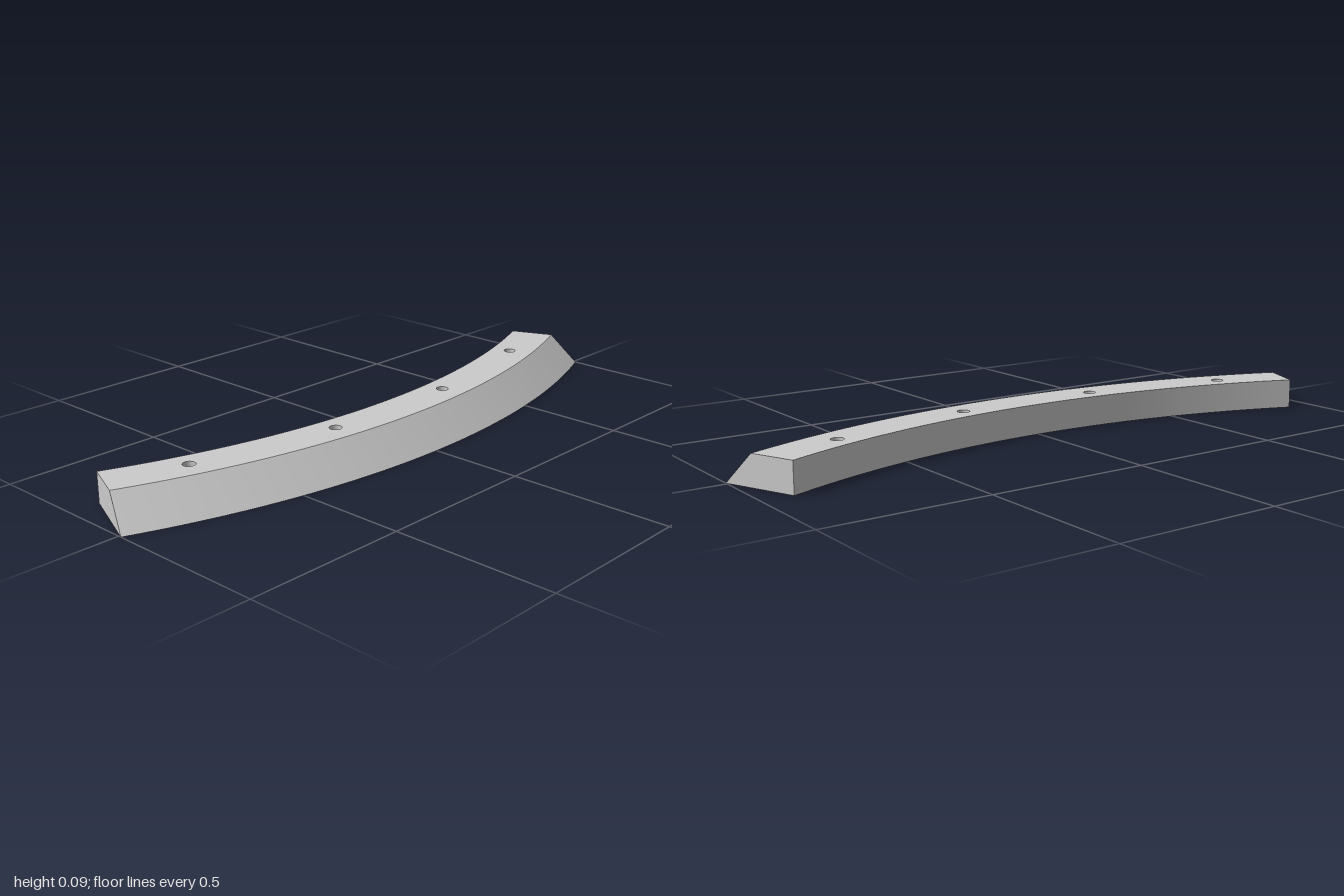
import * as THREE from 'three';

const HEIGHT = 0.093;
const HALF_ANGLE = Math.PI / 8; // the bar spans 45 degrees
const INNER = 2.378, OUTER_TOP = 2.52, OUTER_BOTTOM = 2.613;
const HOLE_CIRCLE = 2.442;
const HOLE_TOP = 0.019, HOLE_BOTTOM = 0.03, HOLE_STEP = 0.05;
const CENTRE_Z = -2.405;

// Points on a horizontal arc; angle 0 points to +z, increasing towards +x
function arc(radius, y, from, to, steps, cx = 0, cz = 0) {
  return Array.from({ length: steps + 1 }, (_, i) => {
    const a = from + ((to - from) * i) / steps;
    return new THREE.Vector3(cx + radius * Math.sin(a), y, cz + radius * Math.cos(a));
  });
}
const sweep = (radius, y) => arc(radius, y, -HALF_ANGLE, HALF_ANGLE, 64);
const circle = (radius, y, c) => arc(radius, y, 0, Math.PI * 2, 32, c.x, c.z);

// Ruled surface between two rows of points
function strip(a, b) {
  const n = a.length, index = [];
  for (let i = 0; i < n - 1; i++) index.push(i, i + 1, n + i, i + 1, n + i + 1, n + i);
  const g = new THREE.BufferGeometry().setFromPoints([...a, ...b]);
  g.setIndex(index);
  g.computeVertexNormals();
  return g;
}

// Flat curved face pierced by the holes
function sheet(outerRadius, holeRadius, y, up, centres) {
  const s = up ? -1 : 1;
  const flat = (pts) => pts.map((p) => new THREE.Vector2(p.x, s * p.z));
  const shape = new THREE.Shape(flat([...sweep(outerRadius, 0), ...sweep(INNER, 0).reverse()]));
  for (const c of centres) shape.holes.push(new THREE.Path(flat(circle(holeRadius, 0, c).slice(0, -1))));
  return new THREE.ShapeGeometry(shape).rotateX((s * Math.PI) / 2).translate(0, y, 0);
}

export function createModel() {
  const model = new THREE.Group();
  model.name = 'curvedBar';
  const material = new THREE.MeshStandardMaterial({ color: 0xcccccc });
  const add = (name, geometry) => {
    const mesh = new THREE.Mesh(geometry, material);
    mesh.name = name;
    mesh.position.z = CENTRE_Z;
    model.add(mesh);
  };

  const centres = [-0.75, -0.25, 0.25, 0.75].map((t) => {
    const a = t * HALF_ANGLE;
    return new THREE.Vector3(HOLE_CIRCLE * Math.sin(a), 0, HOLE_CIRCLE * Math.cos(a));
  });

  // Top and bottom faces
  add('topFace', sheet(OUTER_TOP, HOLE_TOP, HEIGHT, true, centres));
  add('bottomFace', sheet(OUTER_BOTTOM, HOLE_BOTTOM, 0, false, centres));

  // Sloped front and upright back
  const frontLow = sweep(OUTER_BOTTOM, 0), frontHigh = sweep(OUTER_TOP, HEIGHT);
  const backLow = sweep(INNER, 0), backHigh = sweep(INNER, HEIGHT);
  add('slopedFront', strip(frontLow, frontHigh));
  add('backWall', strip(backHigh, backLow));

  // Radial end cuts
  const last = frontLow.length - 1;
  add('leftEnd', strip([frontLow[last], backLow[last]], [frontHigh[last], backHigh[last]]));
  add('rightEnd', strip([backLow[0], frontLow[0]], [backHigh[0], frontHigh[0]]));

  // Stepped screw holes, wider below
  for (const c of centres) {
    const rings = [
      circle(HOLE_TOP, HEIGHT, c), circle(HOLE_TOP, HOLE_STEP, c),
      circle(HOLE_BOTTOM, HOLE_STEP, c), circle(HOLE_BOTTOM, 0, c),
    ];
    ['holeBore', 'holeShoulder', 'holeCounterbore'].forEach((name, i) => add(name, strip(rings[i], rings[i + 1])));
  }
  return model;
}
